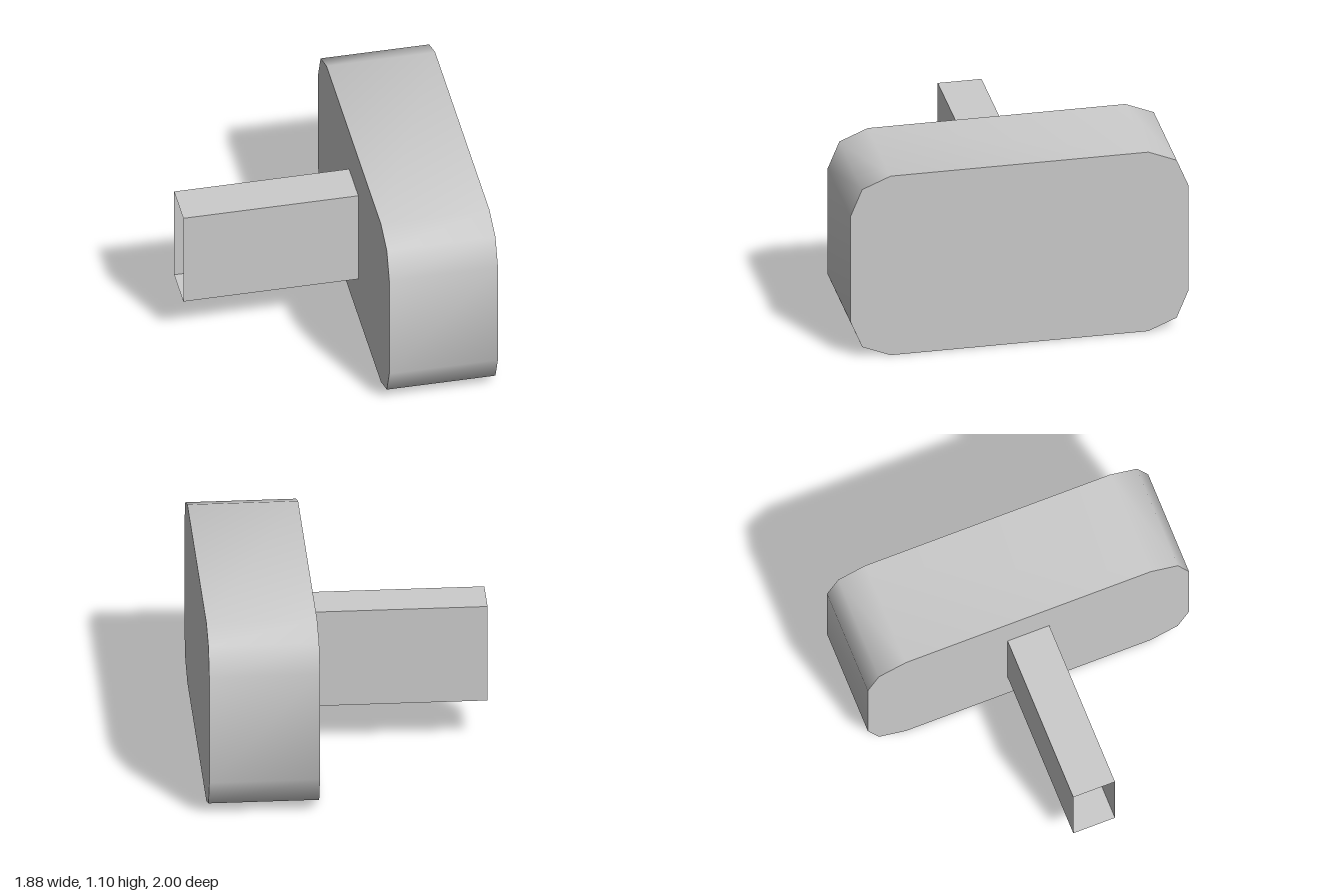
import * as THREE from 'three';
import { toCreasedNormals } from 'three/addons/utils/BufferGeometryUtils.js';

export function createModel() {
  const model = new THREE.Group();
  model.name = 'plungerBlock';

  const grey = new THREE.MeshStandardMaterial({ color: 0xcccccc, side: THREE.DoubleSide });
  grey.name = 'plain grey';

  // Both parts share one axis, turned away from the front
  const body = new THREE.Group();
  body.name = 'body';
  body.position.set(0.305, 0.55, 0);
  body.rotation.y = 1.194;
  model.add(body);

  // Thick slab with two-step rounded corners
  const width = 1.904, height = 1.1, depth = 0.612, radius = 0.226;
  const outline = [];
  const corners = [[1, 1], [-1, 1], [-1, -1], [1, -1]];
  corners.forEach(([sx, sy], c) => {
    for (let i = 0; i <= 2; i++) {
      const a = (c + i / 2) * Math.PI / 2;
      outline.push(new THREE.Vector2(
        sx * (width / 2 - radius) + radius * Math.cos(a),
        sy * (height / 2 - radius) + radius * Math.sin(a)));
    }
  });
  const slabGeometry = new THREE.ExtrudeGeometry(new THREE.Shape(outline), { depth, bevelEnabled: false });
  slabGeometry.translate(0, 0, -depth / 2);
  const slab = new THREE.Mesh(toCreasedNormals(slabGeometry, 1.05), grey);
  slab.name = 'slab';
  body.add(slab);

  // Rectangular sleeve on the back, open at both ends (only the four side faces are kept)
  const length = 0.986;
  const sleeveGeometry = new THREE.BoxGeometry(0.247, 0.58, length);
  sleeveGeometry.setIndex(Array.from(sleeveGeometry.index.array.slice(0, 24)));
  sleeveGeometry.clearGroups();
  const sleeve = new THREE.Mesh(sleeveGeometry, grey);
  sleeve.name = 'sleeve';
  sleeve.position.z = -(depth + length) / 2;
  body.add(sleeve);

  return model;
}
